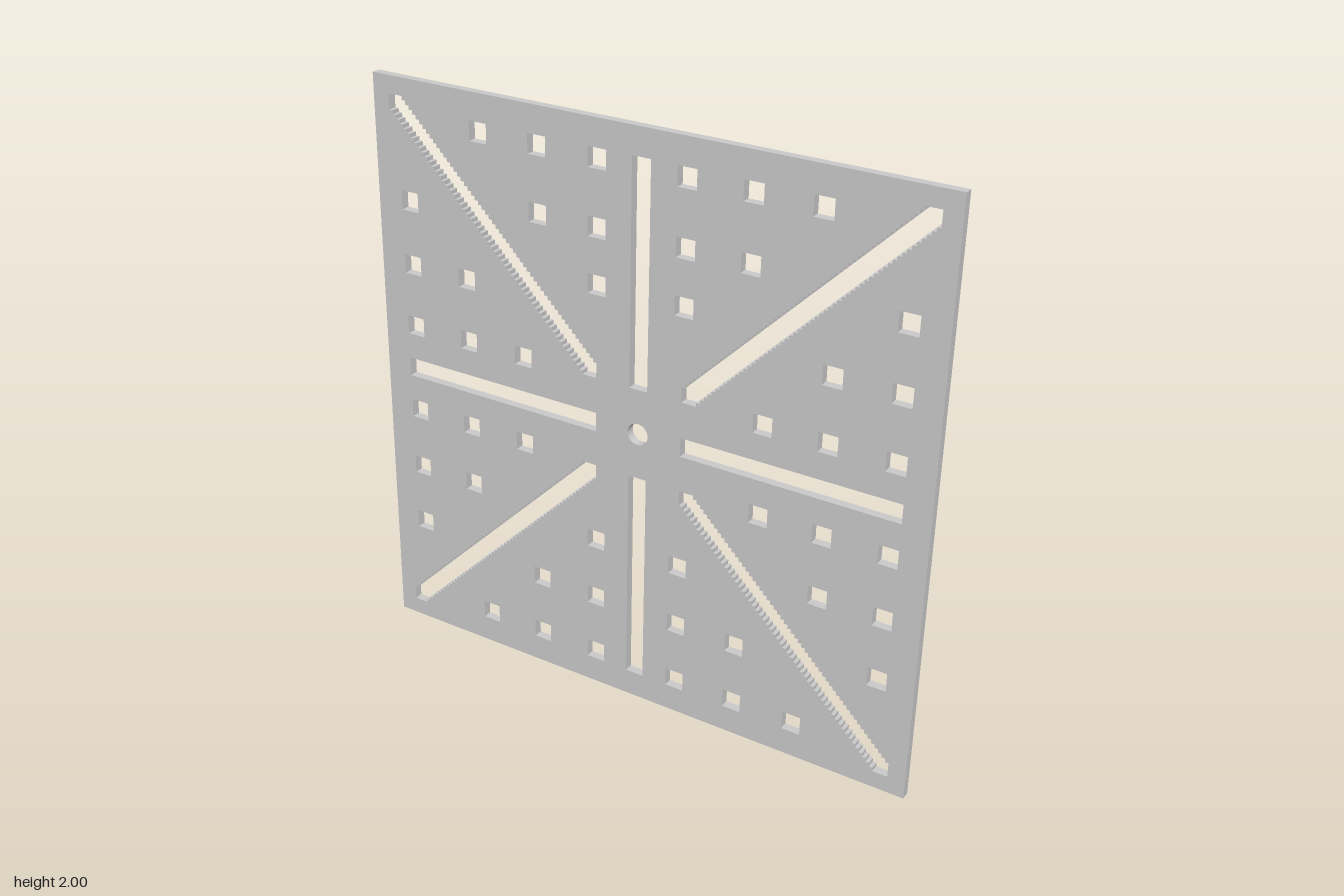
import * as THREE from 'three';

const SIDE = 1.989, THICK = 0.03;

// Closed path from [x, y] pairs, without repeated points
function path(points) {
  const clean = points.filter((p, i) => {
    const q = points[(i + points.length - 1) % points.length];
    return Math.hypot(p[0] - q[0], p[1] - q[1]) > 1e-6;
  });
  return new THREE.Path(clean.map(([x, y]) => new THREE.Vector2(x, y)));
}

function rect(x, y, w, h) {
  return path([[x - w / 2, y - h / 2], [x + w / 2, y - h / 2], [x + w / 2, y + h / 2], [x - w / 2, y + h / 2]]);
}

// Diagonal slot with finely stepped edges, mirrored by sx and sy
function steppedSlot(sx, sy) {
  const n = 60, half = 3, start = 0.155, step = 0.013;
  const grid = (i, j) => [sx * (start + i * step), sy * (start + j * step)];
  const pts = [];
  for (let i = 0; i < n; i++) {
    const top = Math.min(i + half + 1, n);
    pts.push(grid(i, top), grid(i + 1, top));
  }
  for (let i = n - 1; i >= 0; i--) {
    const low = Math.max(i - half, 0);
    pts.push(grid(i + 1, low), grid(i, low));
  }
  return path(pts);
}

export function createModel() {
  const group = new THREE.Group();
  const h = SIDE / 2;
  const shape = new THREE.Shape([[-h, -h], [h, -h], [h, h], [-h, h]].map(([x, y]) => new THREE.Vector2(x, y)));

  // Central round hole
  const hub = new THREE.Path();
  hub.absarc(0, 0, 0.037, 0, Math.PI * 2, true);
  shape.holes.push(hub);

  // Straight and diagonal slots
  for (const s of [-1, 1]) {
    shape.holes.push(rect(s * 0.529, 0, 0.748, 0.065), rect(0, s * 0.529, 0.065, 0.748));
    for (const t of [-1, 1]) shape.holes.push(steppedSlot(s, t));
  }

  // Triangular arrays of square holes: rows get shorter towards the centre
  const along = [0.155, 0.372, 0.591];
  const addHole = (x, y) => shape.holes.push(rect(x, y, 0.065, 0.065));
  for (const s of [-1, 1]) {
    const vertical = [0.87, 0.653, s > 0 ? 0.468 : 0.433];
    const horizontal = [0.87, 0.652, 0.435];
    for (let row = 0; row < 3; row++) {
      for (let k = 0; k < 3 - row; k++) {
        for (const m of [-1, 1]) {
          addHole(m * along[k], s * vertical[row]);
          addHole(s * horizontal[row], m * along[k]);
        }
      }
    }
  }

  const geometry = new THREE.ExtrudeGeometry(shape, { depth: THICK, bevelEnabled: false, curveSegments: 16 });
  geometry.translate(0, 0, -THICK / 2);
  const plate = new THREE.Mesh(geometry, new THREE.MeshStandardMaterial({ color: 0xcccccc }));
  plate.name = 'slottedPlate';
  // The plate leans back slightly and is turned a little clockwise
  plate.rotation.set(-0.016, 0, -0.0055);
  plate.position.y = 1;
  group.add(plate);
  return group;
}
